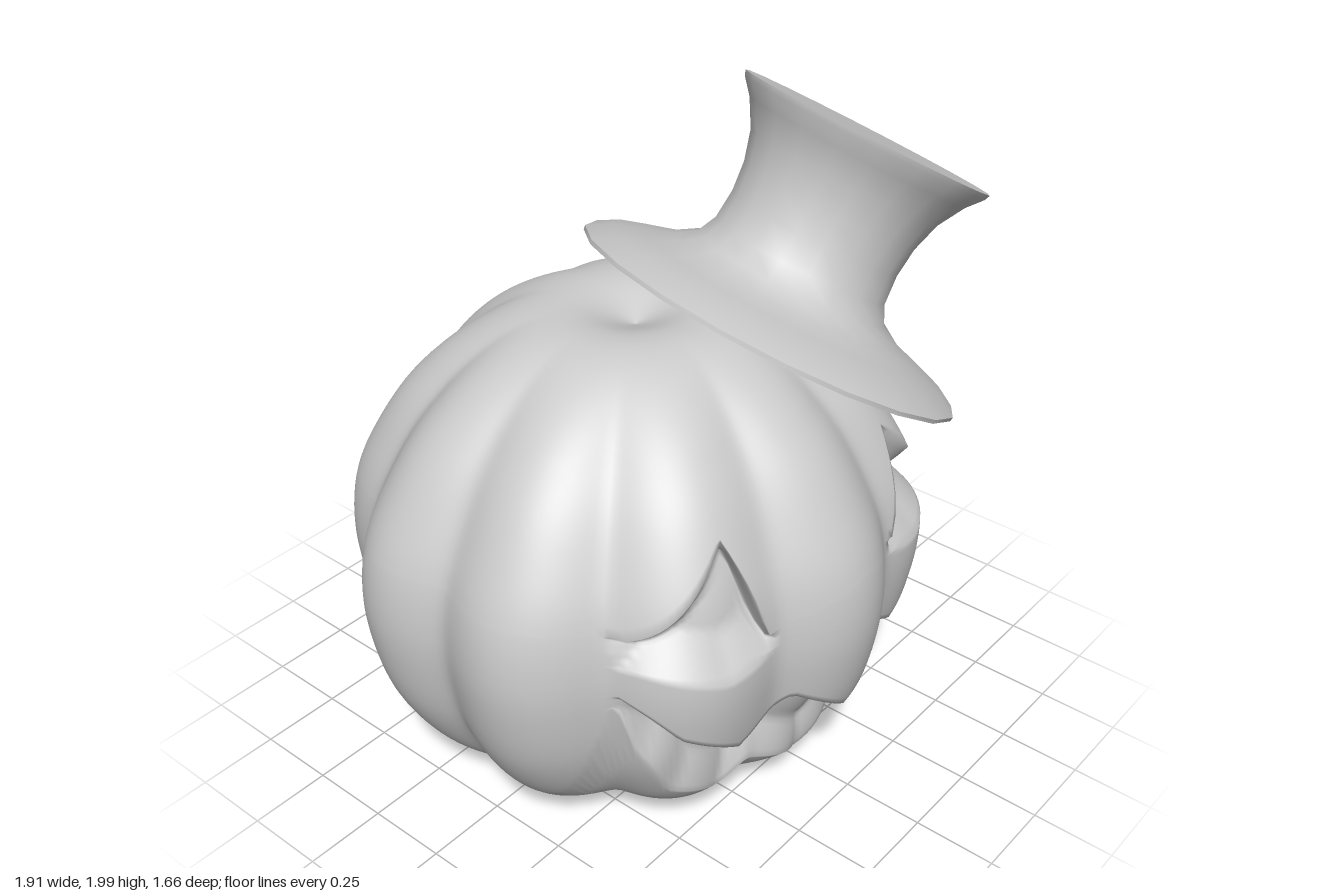
import * as THREE from 'three';
import { toCreasedNormals } from 'three/addons/utils/BufferGeometryUtils.js';

const material = new THREE.MeshStandardMaterial({ color: 0xcccccc });
const CENTRE_X = -0.1;

// Resting heights of the edge loops; the four inner ones bend along the carvings
const LOOPS = [0.1, 0.27, 0.5, 0.76, 0.9, 1.26];
const ROWS = 14;

// Outlines as [distance from the face's middle, height], easing back to rest at the sides
const MOUTH = {
  bottom: [[0, 0.15], [0.22, 0.25], [0.32, 0.2], [0.5, 0.29], [0.6, 0.48], [0.64, 0.65], [0.8, 0.27]],
  top: [[0, 0.41], [0.2, 0.55], [0.37, 0.45], [0.55, 0.56], [0.64, 0.69], [0.8, 0.5]],
  from: -1, to: 0.64, depth: 0.1, ledge: 0.13, lip: 0.02,
};
const EYE = {
  bottom: [[0, 0.76], [0.29, 0.75], [0.45, 0.73], [0.62, 0.78], [0.8, 0.76]],
  top: [[0, 0.88], [0.29, 0.8], [0.32, 0.88], [0.37, 1.1], [0.5, 0.98], [0.62, 0.87], [0.8, 0.9]],
  from: 0.28, to: 0.64, depth: 0.085, ledge: 0.11, lip: 0.05,
};

// Piecewise linear interpolation, clamped at both ends
function interpolate(line, x) {
  if (x <= line[0][0]) return line[0][1];
  for (let i = 1; i < line.length; i++) {
    const [a, ya] = line[i - 1], [b, yb] = line[i];
    if (x <= b) return ya + (yb - ya) * (x - a) / (b - a);
  }
  return line[line.length - 1][1];
}

// Depth of a carving: steep upper lip, sloping lower ledge, faded ends
function carve(c, m, y) {
  const k = Math.min(1,
    (interpolate(c.top, m) - y) / c.lip, (y - interpolate(c.bottom, m)) / c.ledge,
    (m - c.from) / 0.03, (c.to - m) / 0.05);
  return c.depth * Math.max(0, k);
}

// Bends a resting height onto the outlines at distance m
function bend(y, m) {
  const targets = [LOOPS[0], interpolate(MOUTH.bottom, m), interpolate(MOUTH.top, m),
    interpolate(EYE.bottom, m), interpolate(EYE.top, m), LOOPS[5]];
  return interpolate(LOOPS.map((loop, i) => [loop, targets[i]]), y);
}

// Ten-lobed pumpkin: a lathe whose radius is ribbed and carved
function pumpkin() {
  const samples = new THREE.CatmullRomCurve3([
    [0, 0.02], [0.2, 0.005], [0.42, 0.03], [0.65, 0.1], [0.79, 0.2], [0.93, 0.4], [0.99, 0.6],
    [1, 0.75], [0.97, 0.9], [0.885, 1.05], [0.76, 1.2], [0.575, 1.335], [0.37, 1.42],
    [0.2, 1.43], [0, 1.37],
  ].map(([r, y]) => new THREE.Vector3(r, y, 0))).getSpacedPoints(120);
  const first = samples.findIndex((p) => p.y > LOOPS[0]);
  const last = samples.findIndex((p) => p.y > LOOPS[5]);
  const side = samples.slice(first - 1, last + 1).map((p) => [p.y, p.x]);

  // Even rows at both ends, rows fitted between the loops on the side
  const points = samples.slice(0, first - 1).map((p) => new THREE.Vector2(Math.max(0, p.x), p.y));
  for (let i = 0; i < LOOPS.length - 1; i++) {
    for (let j = 0; j < ROWS; j++) {
      const y = THREE.MathUtils.lerp(LOOPS[i], LOOPS[i + 1], j / ROWS);
      points.push(new THREE.Vector2(interpolate(side, y), y));
    }
  }
  samples.slice(last).forEach((p) => points.push(new THREE.Vector2(Math.max(0, p.x), p.y)));

  const geometry = new THREE.LatheGeometry(points, 240, Math.PI / 2);
  const pos = geometry.attributes.position;
  for (let i = 0; i < pos.count; i++) {
    const x = pos.getX(i), rest = pos.getY(i), z = pos.getZ(i);
    const angle = Math.atan2(x, z);
    const sx = Math.sin(angle) * 1.065, sz = Math.cos(angle);
    const rib = Math.sqrt((Math.cos(5 * angle) ** 2 + 0.05) / 1.05);
    // Ribs fade out towards the stem and the base
    const lobed = (r) => r * (0.83 - 0.088 * (1 - rib) * THREE.MathUtils.smoothstep(r, 0.1, 0.75));
    let y = rest, radius = lobed(Math.hypot(x, z)), cut = 0;
    if (z > 0 && rest > LOOPS[0] && rest < LOOPS[5]) {
      for (let n = 0; n < 14; n++) {
        y = (y + bend(rest, Math.abs(radius * sx))) / 2;
        radius = lobed(interpolate(side, y));
      }
      const m = Math.abs(radius * sx);
      cut = Math.max(carve(MOUTH, m, y), carve(EYE, m, y));
    }
    pos.setXYZ(i, (radius - cut) * sx, y, (radius - cut) * sz);
  }
  geometry.computeVertexNormals();
  const mesh = new THREE.Mesh(geometry, material);
  mesh.name = 'pumpkin';
  mesh.position.x = CENTRE_X;
  return mesh;
}

// Tilted top hat: sloping brim, pinched crown and flat top
function topHat() {
  const profile = [
    [0, 0], [0.608, -0.005], [0.61, 0.008], [0.545, 0.045], [0.45, 0.075], [0.375, 0.1],
    [0.31, 0.14], [0.28, 0.2], [0.272, 0.29], [0.28, 0.38], [0.305, 0.47],
    [0.35, 0.55], [0.388, 0.595], [0.395, 0.612], [0, 0.612],
  ].map(([r, y]) => new THREE.Vector2(r, y));
  const geometry = toCreasedNormals(new THREE.LatheGeometry(profile, 20), 0.75);
  const mesh = new THREE.Mesh(geometry, material);
  mesh.name = 'topHat';
  mesh.position.set(0.32, 1.27, 0.16);
  const axis = new THREE.Vector3(0.48, 0.86, 0.18).normalize();
  mesh.quaternion.setFromUnitVectors(new THREE.Vector3(0, 1, 0), axis);
  return mesh;
}

export function createModel() {
  const model = new THREE.Group();
  model.name = 'pumpkinWithHat';
  model.add(pumpkin(), topHat());
  return model;
}
